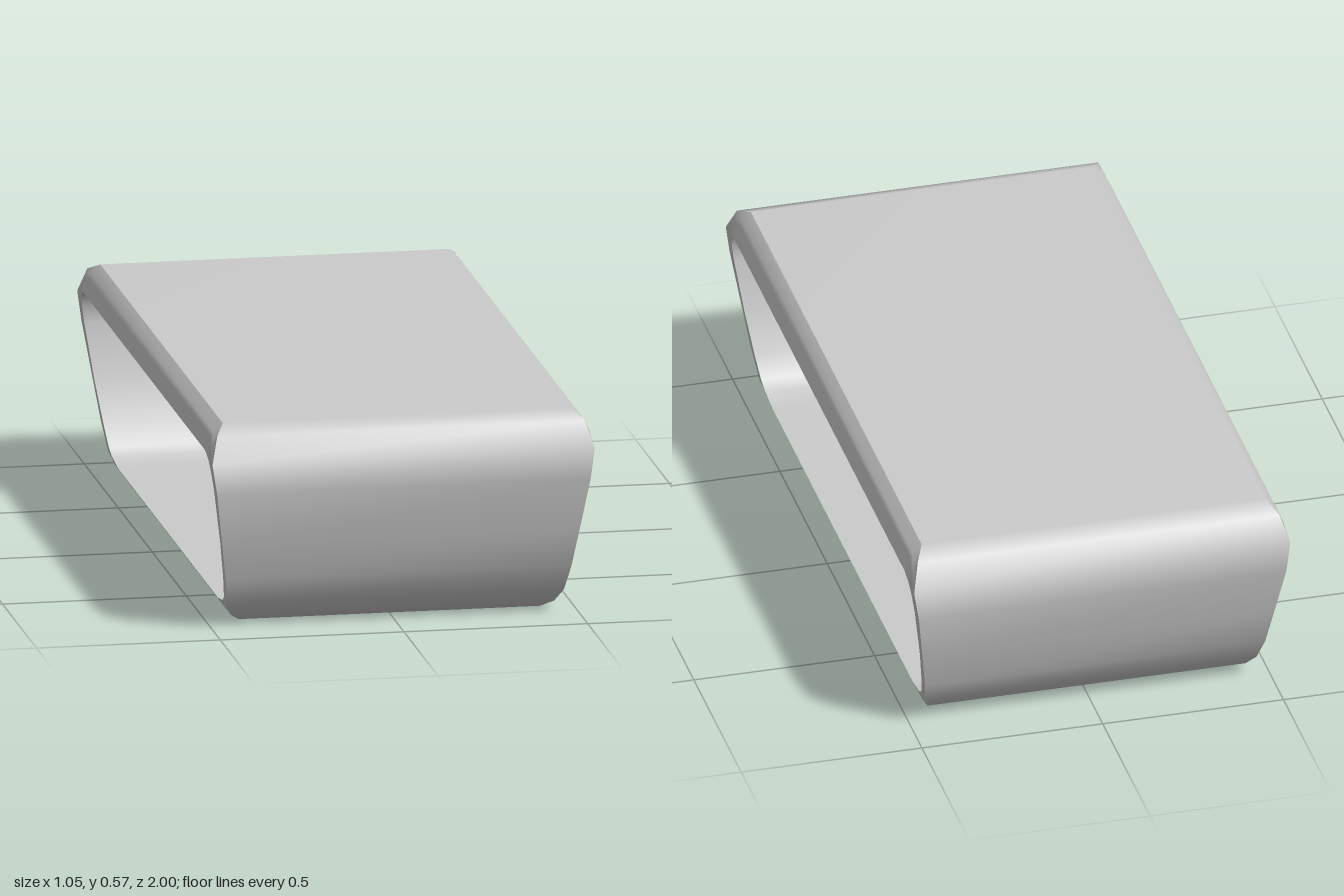
import * as THREE from 'three';

// Half profiles as [z, y], from bottom to top
const OUTER = [[0.78, 0], [0.83, 0.025], [0.87, 0.065], [0.92, 0.14], [0.955, 0.25], [1, 0.4], [0.995, 0.48], [0.955, 0.55], [0.9, 0.573]];
const INNER = [[0.735, 0.05], [0.81, 0.062], [0.845, 0.08], [0.882, 0.14], [0.925, 0.25], [0.955, 0.4], [0.95, 0.45], [0.935, 0.482], [0.9, 0.5]];

// Half width at each height: flared sides with rounded top and bottom edges
const WIDTH = [[0, 0.41], [0.025, 0.44], [0.05, 0.457], [0.5, 0.523], [0.55, 0.5], [0.573, 0.475]];

function halfWidth(y) {
  const k = Math.max(1, WIDTH.findIndex(([h]) => h >= y - 1e-6));
  const [y0, w0] = WIDTH[k - 1], [y1, w1] = WIDTH[k];
  return w0 + (w1 - w0) * (y - y0) / (y1 - y0);
}

// Closed loop at depth t through the wall (0 outer, 1 inner), on the side given by its sign
function ring(t, side) {
  const half = OUTER.map(([z, y], i) => [z + (INNER[i][0] - z) * t, y + (INNER[i][1] - y) * t]);
  const loop = half.concat(half.map(([z, y]) => [-z, y]).reverse());
  return loop.map(([z, y]) => [side * halfWidth(y), y, z]);
}

// Smooth surface joining neighbouring rings
function skin(name, rings, material) {
  const n = rings[0].length, index = [];
  for (let r = 0; r < rings.length - 1; r++) {
    for (let i = 0; i < n; i++) {
      const a = r * n + i, b = r * n + (i + 1) % n;
      index.push(a, a + n, b + n, a, b + n, b);
    }
  }
  const geometry = new THREE.BufferGeometry();
  geometry.setAttribute('position', new THREE.Float32BufferAttribute(rings.flat(2), 3));
  geometry.setIndex(index);
  geometry.computeVertexNormals();
  const mesh = new THREE.Mesh(geometry, material);
  mesh.name = name;
  return mesh;
}

export function createModel() {
  const group = new THREE.Group();
  group.name = 'openSleeveTable';
  const material = new THREE.MeshStandardMaterial({ color: 0xcccccc });
  const steps = [0, 0.32, 0.5, 1];

  // Outer shell and the lining of the opening
  group.add(skin('outerShell', [ring(0, -1), ring(0, 1)], material));
  group.add(skin('innerLining', [ring(1, 1), ring(1, -1)], material));

  // Rounded rims around both open ends
  group.add(skin('leftRim', steps.map(t => ring(t, 1)), material));
  group.add(skin('rightRim', steps.map(t => ring(1 - t, -1)).map((_, i) => ring(steps[steps.length - 1 - i], -1)), material));
  return group;
}
